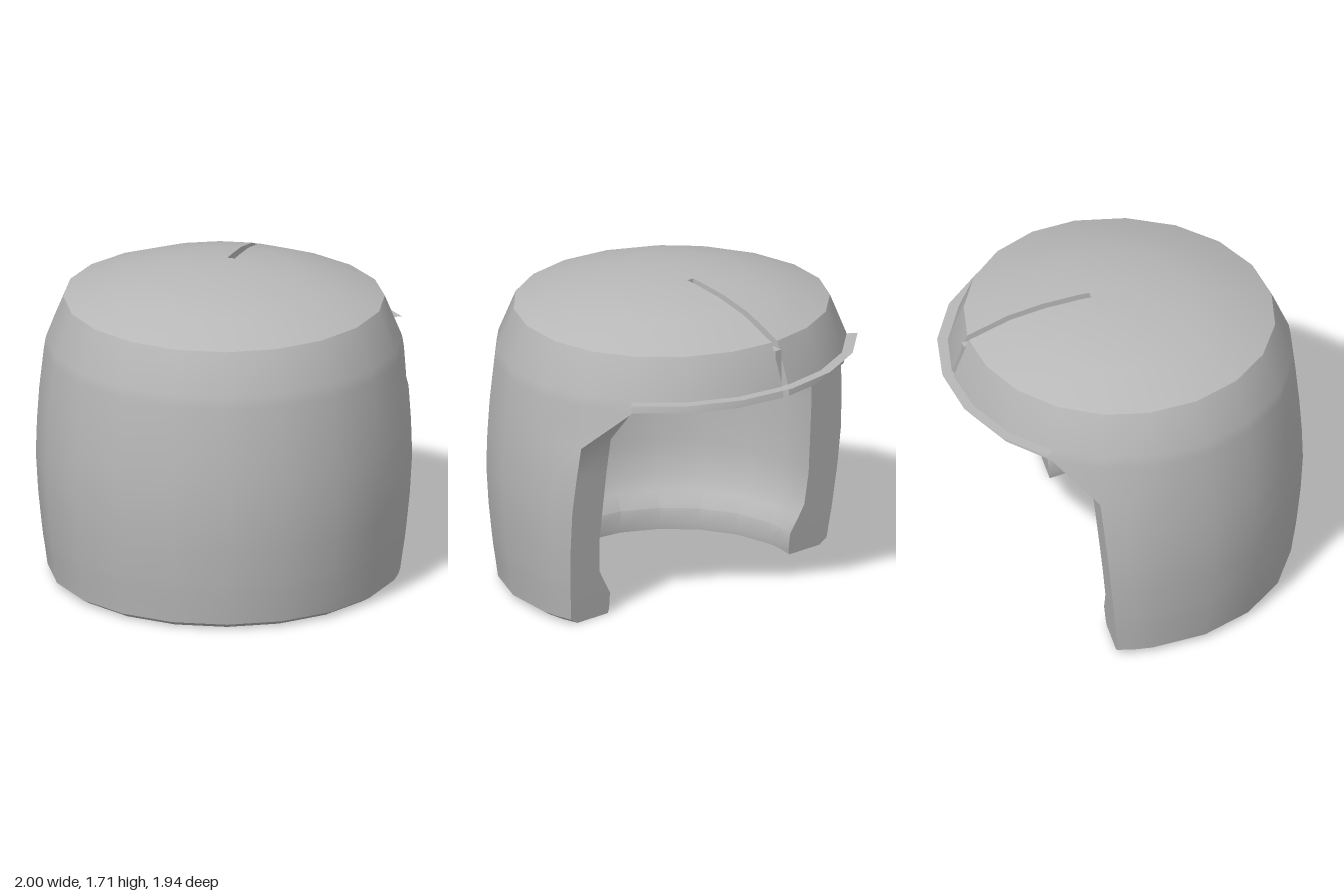
import * as THREE from 'three';
import { mergeGeometries, toCreasedNormals } from 'three/addons/utils/BufferGeometryUtils.js';

const CZ = -0.045, FRONT = 1.016, BACK = 0.917; // slightly flattened behind
const STEP = Math.PI / 10;                      // 20-sided barrel
const SLOT = 0.02;                              // half width of the top slot

// Point on the oval barrel: angle 0 is the front, positive toward +x
function at(r, y, a) {
  const c = Math.cos(a);
  return [r * Math.sin(a), y, CZ + r * c * (c > 0 ? FRONT : BACK)];
}

// Surface through rows of points
function grid(rows) {
  const n = rows[0].length, index = [];
  for (let j = 0; j < rows.length - 1; j++) {
    for (let i = 0; i < n - 1; i++) {
      const a = j * n + i, b = a + n;
      index.push(a, a + 1, b + 1, a, b + 1, b);
    }
  }
  const g = new THREE.BufferGeometry();
  g.setAttribute('position', new THREE.Float32BufferAttribute(rows.flat(2), 3));
  g.setIndex(index);
  return g.toNonIndexed();
}

// Full ring, optionally split at the back to leave the slot open
function fullRing([r, y], split) {
  const end = Math.PI - (split ? Math.asin(SLOT / r) : 0);
  const row = [at(r, y, -end)];
  for (let k = -9; k <= 9; k++) row.push(at(r, y, k * STEP));
  row.push(at(r, y, end));
  return row;
}

// Partial ring ending on the cutaway at depth zCut
function openRing(r, y, zCut) {
  const end = Math.min(Math.PI / 2 + Math.asin((CZ - zCut) / (r * BACK)), 7 * STEP);
  const side = [];
  for (let k = 1; k <= 5; k++) side.push(k * STEP);
  side.push((5 * STEP + end) / 2, end);
  return [...side.slice().reverse().map(a => -a), 0, ...side].map(a => at(r, y, a));
}

export function createModel() {
  const group = new THREE.Group();
  const grey = new THREE.MeshStandardMaterial({ color: 0xb8b8b8, side: THREE.DoubleSide });
  grey.name = 'grey';
  const add = (name, geometry) => {
    const mesh = new THREE.Mesh(geometry, grey);
    mesh.name = name;
    group.add(mesh);
    return mesh;
  };
  const addSmooth = (name, parts) =>
    add(name, toCreasedNormals(mergeGeometries(parts), Math.PI / 6));

  // Lower wall: height, outer radius, inner radius, depth of the cutaway
  const wall = [
    [0, 0.89, 0.68, -0.23], [0.03, 0.938, 0.675, -0.233], [0.12, 0.95, 0.68, -0.242],
    [0.2, 0.962, 0.73, -0.25], [0.27, 0.97, 0.77, -0.256], [0.45, 0.988, 0.79, -0.274],
    [0.66, 1, 0.79, -0.294], [0.85, 0.994, 0.79, -0.313], [1.03, 0.982, 0.785, -0.33],
    [1.255, 0.957, 0.76, -0.57],
  ];
  const outer = wall.map(([y, ro, , z]) => openRing(ro, y, z));
  const inner = wall.map(([y, , ri, z]) => openRing(ri, y, z));

  // Upper shell profiles, radius and height
  const band = [[0.957, 1.255], [0.947, 1.315], [0.855, 1.54]];
  const dome = [[0.855, 1.54], [0.61, 1.635], [0.4, 1.68], [0.2, 1.703], [0.13, 1.707]];
  const ceiling = [[0.13, 1.62], [0.4, 1.62], [0.45, 1.39], [0.6, 1.38], [0.7, 1.33], [0.76, 1.255]];
  const split = profile => grid(profile.map(p => fullRing(p, true)));
  const closed = profile => grid(profile.map(p => fullRing(p, false)));

  addSmooth('outerShell', [
    grid(outer), split(band), split(dome), closed([[0.13, 1.707], [0.012, 1.71]]),
  ]);
  addSmooth('innerShell', [
    grid(inner.slice().reverse()), split(ceiling), closed([[0.001, 1.62], [0.13, 1.62]]),
  ]);

  // Base rim, underside of the rear skirt and the two cut edges of the wall
  const last = outer[0].length - 1;
  addSmooth('cutFaces', [
    grid([inner[0], outer[0]]),
    split([[0.76, 1.255], [0.957, 1.255]]),
    grid(outer.map((row, j) => [row[last], inner[j][last]])),
    grid(outer.map((row, j) => [inner[j][0], row[0]])),
  ]);

  // Thin brim around the rear skirt
  const brimRow = r => [7, 8, 9, 10, 11, 12, 13].map(k => at(r, 1.315, k * STEP));
  addSmooth('rearBrim', [grid([brimRow(1.008), brimRow(0.94)])]);

  // Slot side walls, end wall and the solid floor in the skirt
  const section = new THREE.Shape([...band, ...dome.slice(1), ...ceiling]
    .map(([r, y]) => new THREE.Vector2(CZ - r * BACK, y)));
  for (const side of [-1, 1]) {
    const cheek = new THREE.ShapeGeometry(section);
    cheek.rotateY(-Math.PI / 2);
    add('slotWall', cheek).position.x = side * SLOT;
  }
  const slotEnd = add('slotEnd', new THREE.PlaneGeometry(2 * SLOT, 0.087));
  slotEnd.position.set(0, 1.6635, CZ - 0.13 * BACK);
  slotEnd.rotation.y = Math.PI;
  const floor = add('slotFloor', new THREE.BoxGeometry(2 * SLOT, 0.245, 0.13));
  floor.position.set(0, 1.378, -0.795);

  return group;
}
